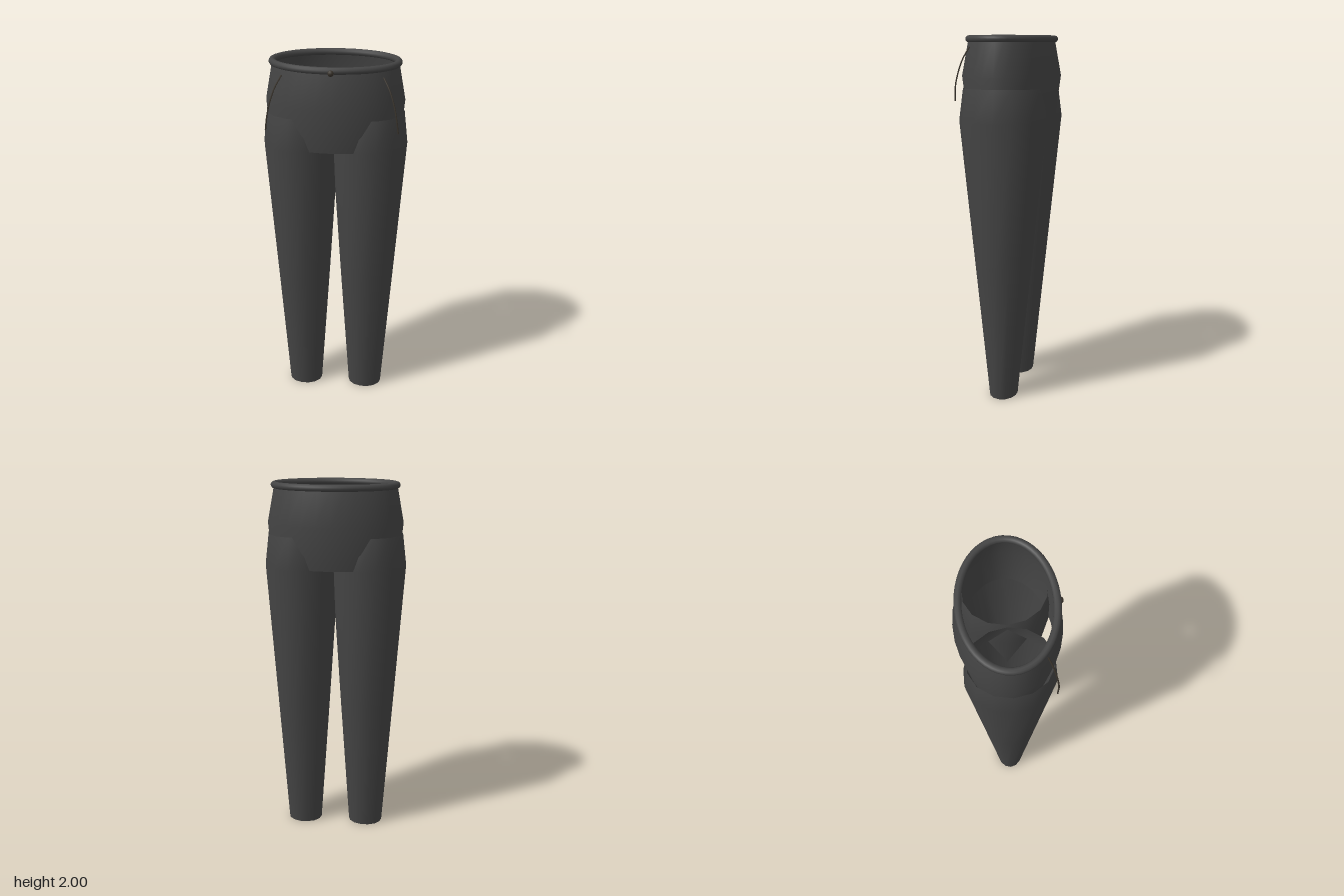
import * as THREE from 'three';

const cloth = new THREE.MeshStandardMaterial({ name: 'charcoal cloth', color: 0x444444, side: THREE.DoubleSide });
const trim = new THREE.MeshStandardMaterial({ name: 'dark brown trim', color: 0x3a342c });

// Open smooth skin through elliptical rings [y, centreX, radiusX, radiusZ], listed bottom to top
function loft(rings, sides) {
  const pos = [], index = [];
  for (const [y, cx, rx, rz] of rings) {
    for (let j = 0; j < sides; j++) {
      const a = (j / sides) * Math.PI * 2;
      pos.push(cx + Math.cos(a) * rx, y, Math.sin(a) * rz);
    }
  }
  for (let i = 0; i < rings.length - 1; i++) {
    for (let j = 0; j < sides; j++) {
      const k = (j + 1) % sides;
      const a = i * sides + j, b = i * sides + k, c = a + sides, d = b + sides;
      index.push(a, c, b, b, c, d);
    }
  }
  const g = new THREE.BufferGeometry();
  g.setAttribute('position', new THREE.Float32BufferAttribute(pos, 3));
  g.setIndex(index);
  g.computeVertexNormals();
  return g;
}

export function createModel() {
  const model = new THREE.Group();
  model.name = 'trousers';
  const add = (name, geometry, material) => {
    const mesh = new THREE.Mesh(geometry, material);
    mesh.name = name;
    model.add(mesh);
    return mesh;
  };

  // Hip section, open at the top and underneath
  add('hips', loft([
    [1.56, 0, 0.345, 0.23],
    [1.79, 0, 0.365, 0.26],
    [1.98, 0, 0.328, 0.224],
  ], 28), cloth);

  // Rolled waistband
  const ring = [];
  for (let i = 0; i < 28; i++) {
    const a = (i / 28) * Math.PI * 2;
    ring.push(new THREE.Vector3(Math.cos(a) * 0.326, 1.982, Math.sin(a) * 0.223));
  }
  add('waistband', new THREE.TubeGeometry(new THREE.CatmullRomCurve3(ring, true), 56, 0.018, 10, true), cloth);

  // Waist button
  add('button', new THREE.SphereGeometry(0.016, 12, 8), trim).position.set(0, 1.973, 0.236);

  for (const s of [1, -1]) {
    const side = s > 0 ? 'left' : 'right';

    // Tapered leg, open at both ends
    add(side + 'Leg', loft([
      [0, s * 0.182, 0.098, 0.079],
      [0.78, s * 0.182, 0.151, 0.157],
      [1.56, s * 0.183, 0.202, 0.235],
      [1.73, s * 0.185, 0.179, 0.212],
    ], 14), cloth);

    // Curved pocket piping
    const path = [
      [0.255, 1.94, 0.158], [0.288, 1.88, 0.184], [0.312, 1.81, 0.202],
      [0.327, 1.74, 0.212], [0.337, 1.67, 0.209],
    ].map(([x, y, z]) => new THREE.Vector3(s * x, y, z));
    add(side + 'PocketPiping', new THREE.TubeGeometry(new THREE.CatmullRomCurve3(path), 20, 0.004, 6), trim);
  }

  return model;
}
